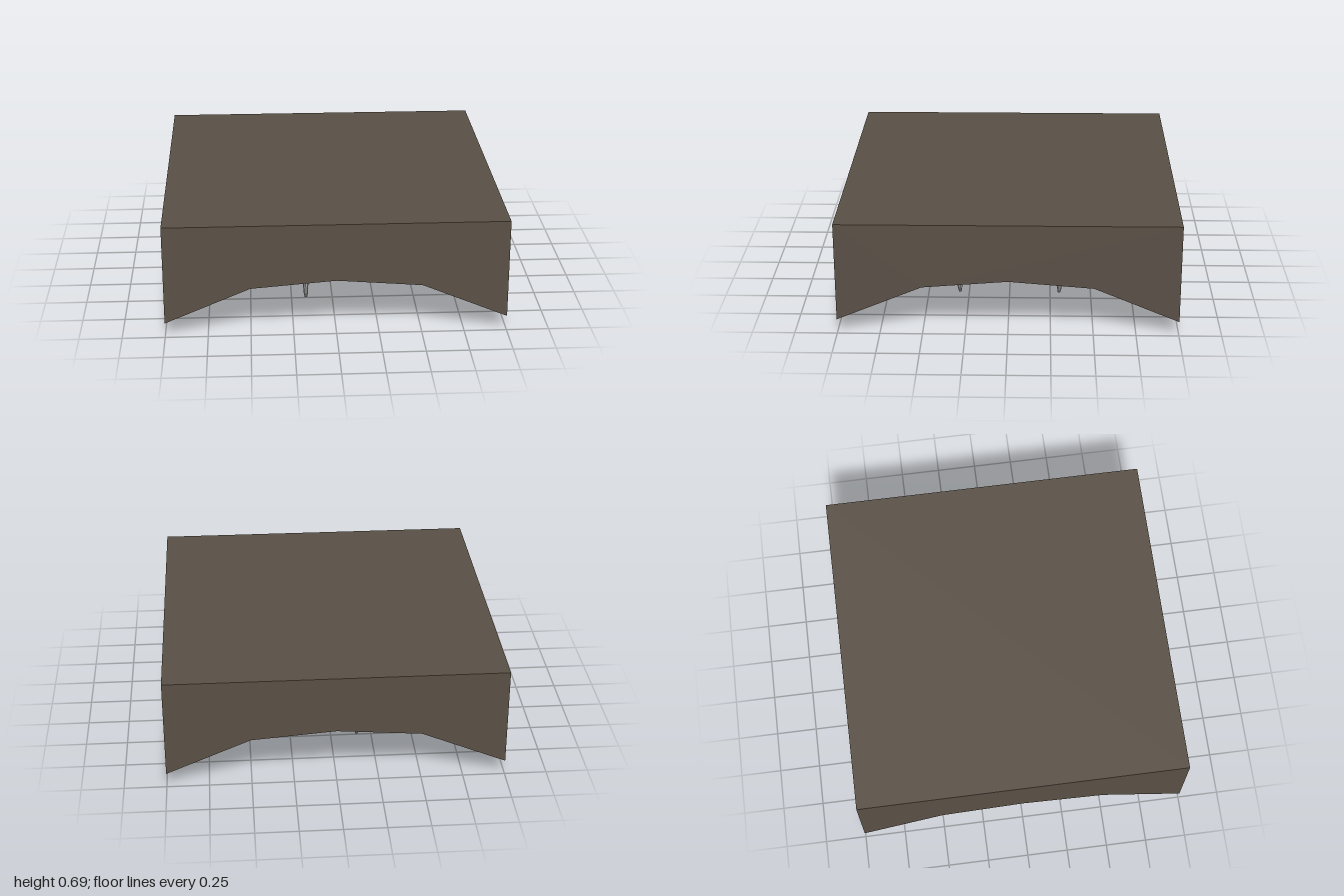
import * as THREE from 'three';
import { toCreasedNormals } from 'three/addons/utils/BufferGeometryUtils.js';

const stone = new THREE.MeshStandardMaterial({ name: 'brown ceiling', color: 0x5a5046 });
const metal = new THREE.MeshStandardMaterial({ name: 'pale grey metal', color: 0xb4b4b4 });

const TOP = 0.69, CORNER = 0.09;
const ARCH = [[-1, 0], [-0.5, 0.21], [0, 0.25], [0.5, 0.21], [1, 0]];

function add(parent, name, geometry, material) {
  const mesh = new THREE.Mesh(geometry, material);
  mesh.name = name;
  parent.add(mesh);
  return mesh;
}

function lathe(points, sides, crease = 0.6) {
  const profile = points.map(([r, y]) => new THREE.Vector2(r, y));
  return toCreasedNormals(new THREE.LatheGeometry(profile, sides), crease);
}

// Square slab with arched sides and a hollow vault below
function createCeiling() {
  const ceiling = new THREE.Group();
  ceiling.name = 'ceiling';

  const top = new THREE.PlaneGeometry(2, 2).rotateX(-Math.PI / 2);
  add(ceiling, 'ceilingTop', top, stone).position.y = TOP;

  const outline = ARCH.map(([x, h]) => new THREE.Vector2(x, CORNER + h));
  outline.push(new THREE.Vector2(1, TOP), new THREE.Vector2(-1, TOP));
  for (let i = 0; i < 4; i++) {
    const wall = new THREE.ShapeGeometry(new THREE.Shape(outline));
    wall.translate(0, 0, 1).rotateY(i * Math.PI / 2);
    add(ceiling, 'archedWall', wall, stone);
  }

  // The vault adds the arch rise along both axes
  const vault = new THREE.PlaneGeometry(2, 2, 4, 4).rotateX(Math.PI / 2);
  const pos = vault.attributes.position;
  const rise = (v) => ARCH[Math.round((v + 1) * 2)][1];
  for (let i = 0; i < pos.count; i++) {
    pos.setY(i, CORNER + rise(pos.getX(i)) + rise(pos.getZ(i)));
  }
  vault.computeVertexNormals();
  add(ceiling, 'vault', vault, stone);
  return ceiling;
}

// Flat curved strap from the ring up to the hub
function strapGeometry() {
  const path = [[0.41, 0.155], [0.33, 0.162], [0.25, 0.2], [0.165, 0.27], [0.11, 0.34], [0.07, 0.43]];
  const curve = new THREE.SplineCurve(path.map(([x, y]) => new THREE.Vector2(x, y)));
  const n = 14, half = 0.005, inner = [], outer = [];
  for (let i = 0; i <= n; i++) {
    const p = curve.getPoint(i / n), t = curve.getTangent(i / n);
    inner.push(new THREE.Vector2(p.x - t.y * half, p.y + t.x * half));
    outer.push(new THREE.Vector2(p.x + t.y * half, p.y - t.x * half));
  }
  const shape = new THREE.Shape([...inner, ...outer.reverse()]);
  const strap = new THREE.ExtrudeGeometry(shape, { depth: 0.03, bevelEnabled: false });
  return toCreasedNormals(strap.translate(0, 0, -0.015), 0.6);
}

function createChandelier() {
  const chandelier = new THREE.Group();
  chandelier.name = 'chandelier';

  add(chandelier, 'ring', lathe([[0.395, 0.13], [0.418, 0.13], [0.418, 0.2], [0.395, 0.2], [0.395, 0.13]], 16), metal);
  add(chandelier, 'hub', lathe([[0, 0.415], [0.08, 0.415], [0.09, 0.43], [0.08, 0.445], [0, 0.445]], 14), metal);
  add(chandelier, 'hangingRod', new THREE.CylinderGeometry(0.014, 0.014, 0.17, 8), metal).position.y = 0.515;

  const strap = strapGeometry();
  const bracket = new THREE.CylinderGeometry(0.021, 0.021, 0.12, 8).rotateZ(Math.PI / 2);
  const torch = lathe([[0, 0], [0.008, 0.004], [0.014, 0.035], [0.023, 0.2], [0.027, 0.275],
    [0.032, 0.285], [0.034, 0.31], [0, 0.31]], 10);

  // Five equal arms, each with a torch leaning outwards
  for (let i = 0; i < 5; i++) {
    const arm = new THREE.Group();
    arm.name = 'arm';
    arm.rotation.y = Math.PI + i * Math.PI * 2 / 5;
    add(arm, 'strap', strap, metal);
    add(arm, 'bracket', bracket, metal).position.set(0.465, 0.165, 0);
    const holder = add(arm, 'torch', torch, metal);
    holder.position.x = 0.52;
    holder.rotation.z = -0.08;
    chandelier.add(arm);
  }
  return chandelier;
}

export function createModel() {
  const model = new THREE.Group();
  model.name = 'vaultedCeilingWithChandelier';
  model.add(createCeiling(), createChandelier());
  return model;
}
